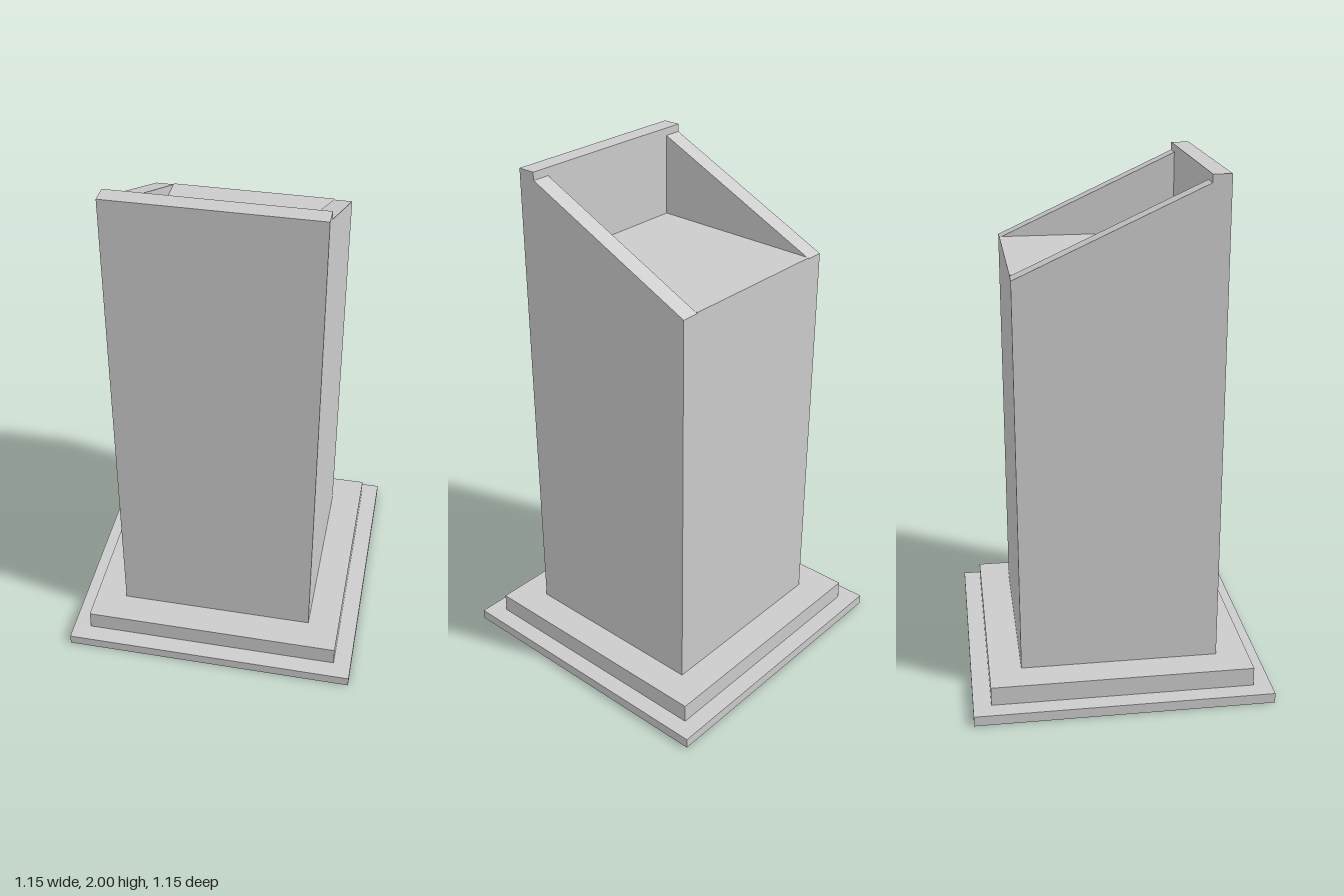
import * as THREE from 'three';

const HALF = 0.384;   // half width of the shaft
const WALL = 0.07;    // thickness of the rim walls
const BASE = 0.115;   // top of the plinth
const FLOOR = 1.654;  // recessed top surface
const INNER = HALF - WALL;

export function createModel() {
  const group = new THREE.Group();
  group.name = 'pedestal';
  const material = new THREE.MeshStandardMaterial({ color: 0xcccccc, flatShading: true });

  const add = (name, geometry) => {
    const mesh = new THREE.Mesh(geometry, material);
    mesh.name = name;
    group.add(mesh);
  };

  // Square plinth step between two heights
  const step = (name, width, y0, y1) =>
    add(name, new THREE.BoxGeometry(width, y1 - y0, width).translate(0, (y0 + y1) / 2, 0));

  // Side profile in (z, y), extruded across x from x0 to x1
  const slab = (name, profile, x0, x1) => {
    const shape = new THREE.Shape(profile.map(([z, y]) => new THREE.Vector2(z, y)));
    const geometry = new THREE.ExtrudeGeometry(shape, { depth: x1 - x0, bevelEnabled: false });
    add(name, geometry.rotateY(-Math.PI / 2).translate(x1, 0, 0));
  };

  // Two-step plinth
  step('lowerStep', 1.154, 0, 0.04);
  step('upperStep', 1.016, 0.04, BASE);

  // Shaft core with the recessed floor and the tall front wall
  slab('shaftCore', [
    [-HALF, BASE], [HALF, BASE], [HALF, 2], [INNER, 2], [INNER, FLOOR], [-HALF, FLOOR],
  ], -INNER, INNER);

  // Side walls with sloping tops and the end of the front lip
  const side = [
    [-HALF, BASE], [HALF, BASE], [HALF, 2], [INNER, 2], [INNER, 1.97], [-HALF, 1.65],
  ];
  slab('leftWall', side, INNER, HALF);
  slab('rightWall', side, -HALF, -INNER);

  return group;
}
